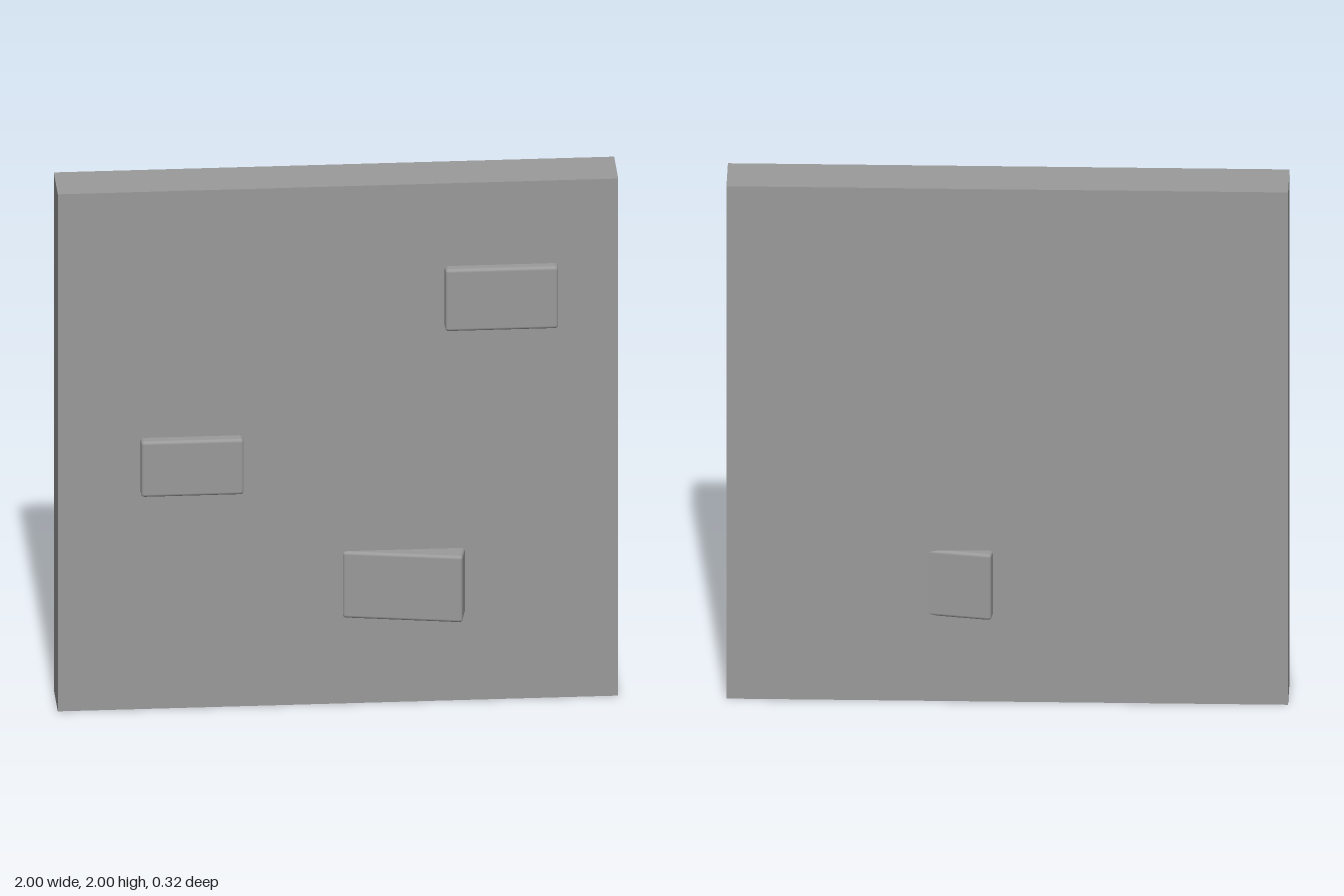
import * as THREE from 'three';
import { RoundedBoxGeometry } from 'three/addons/geometries/RoundedBoxGeometry.js';

export function createModel() {
  const model = new THREE.Group();
  model.name = 'wallPanel';
  const material = new THREE.MeshStandardMaterial({ color: 0x9a9a9a });

  // Flat square slab
  const wall = new THREE.Mesh(new THREE.BoxGeometry(2, 2, 0.2), material);
  wall.name = 'wall';
  wall.position.set(0, 1, -0.02);
  model.add(wall);

  // Bricks with softened edges, set into the slab
  const addBrick = (name, [w, h, d], [x, y, z], turn = 0) => {
    const brick = new THREE.Mesh(new RoundedBoxGeometry(w, h, d, 2, 0.012), material);
    brick.name = name;
    brick.position.set(x, y, z);
    brick.rotation.y = turn;
    model.add(brick);
  };
  addBrick('upperBrick', [0.403, 0.24, 0.22], [0.582, 1.56, 0.006]);
  addBrick('middleBrick', [0.366, 0.215, 0.2], [-0.522, 0.941, 0.02]);
  // The lower brick is twisted and pokes out of the back
  addBrick('lowerBrick', [0.43, 0.257, 0.25], [0.248, 0.46, 0.001], THREE.MathUtils.degToRad(-10));

  return model;
}
